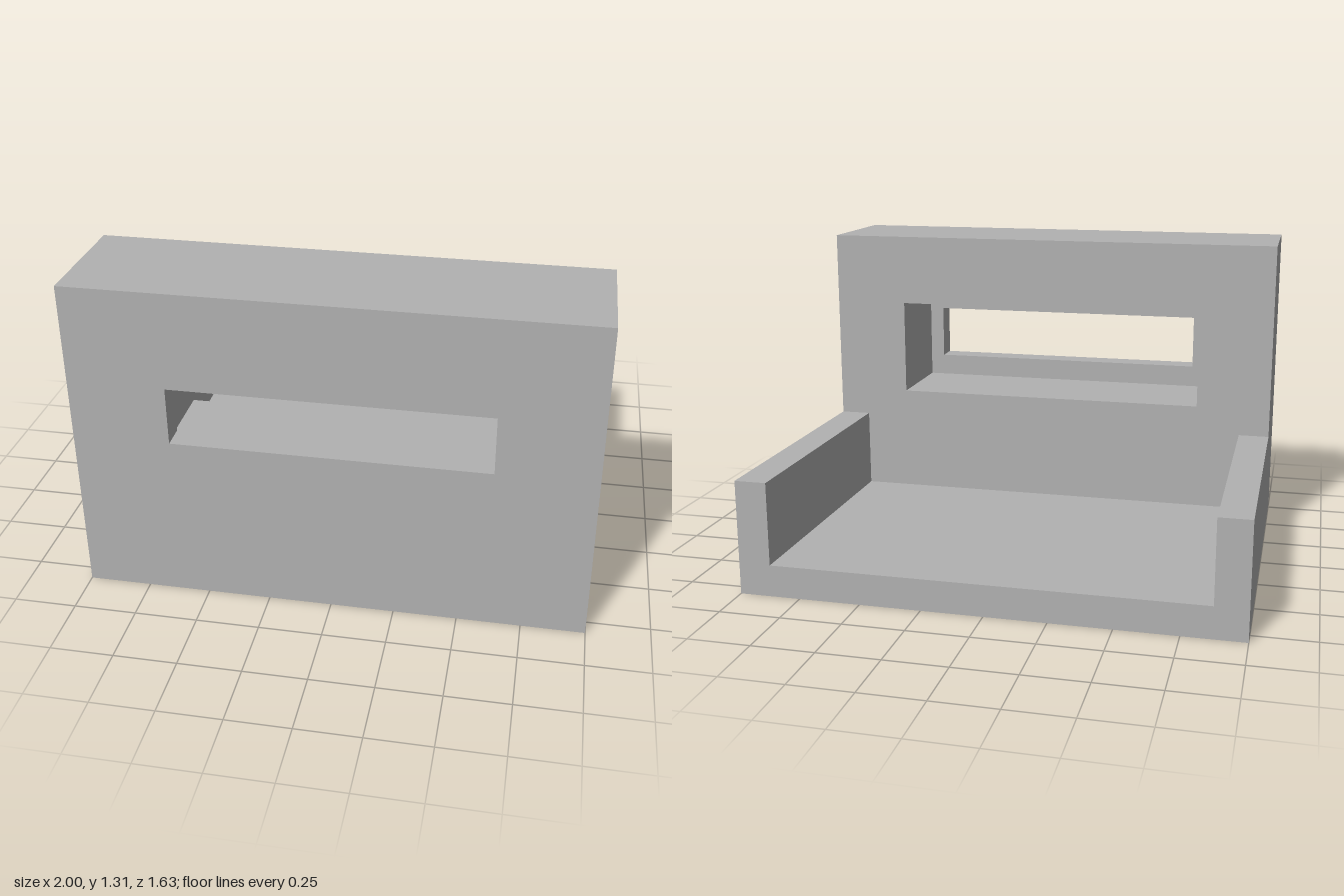
import * as THREE from 'three';

const grey = new THREE.MeshStandardMaterial({ color: 0xb2b2b2 });
grey.name = 'plain grey';

// Rectangle outline as a path or shape
function rect(PathType, halfWidth, y0, y1) {
  const p = new PathType();
  p.moveTo(-halfWidth, y0);
  p.lineTo(halfWidth, y0);
  p.lineTo(halfWidth, y1);
  p.lineTo(-halfWidth, y1);
  p.closePath();
  return p;
}

// Extrude a front-facing outline between two z positions
function slab(name, shape, z0, z1) {
  const geo = new THREE.ExtrudeGeometry(shape, { depth: z1 - z0, bevelEnabled: false });
  geo.translate(0, 0, z0);
  const mesh = new THREE.Mesh(geo, grey);
  mesh.name = name;
  return mesh;
}

export function createModel() {
  const group = new THREE.Group();
  group.name = 'windowedBracket';

  const back = -0.815, wallBack = 0.315, recessEnd = 0.715, front = 0.815;
  const height = 1.31;

  // Tray: floor with a low wall on each side, open at the back
  const tray = new THREE.Shape([
    [-1, 0], [1, 0], [1, 0.47], [0.87, 0.47],
    [0.87, 0.13], [-0.87, 0.13], [-0.87, 0.47], [-1, 0.47],
  ].map(([x, y]) => new THREE.Vector2(x, y)));
  group.add(slab('tray', tray, back, wallBack));

  // Thick upright wall with the wide recess
  const wall = rect(THREE.Shape, 1, 0, height);
  wall.holes.push(rect(THREE.Path, 0.68, 0.59, 1.005));
  group.add(slab('recessedWall', wall, wallBack, recessEnd));

  // Thin front panel with the smaller window
  const panel = rect(THREE.Shape, 1, 0, height);
  panel.holes.push(rect(THREE.Path, 0.617, 0.685, 0.92));
  group.add(slab('frontPanel', panel, recessEnd, front));

  return group;
}
